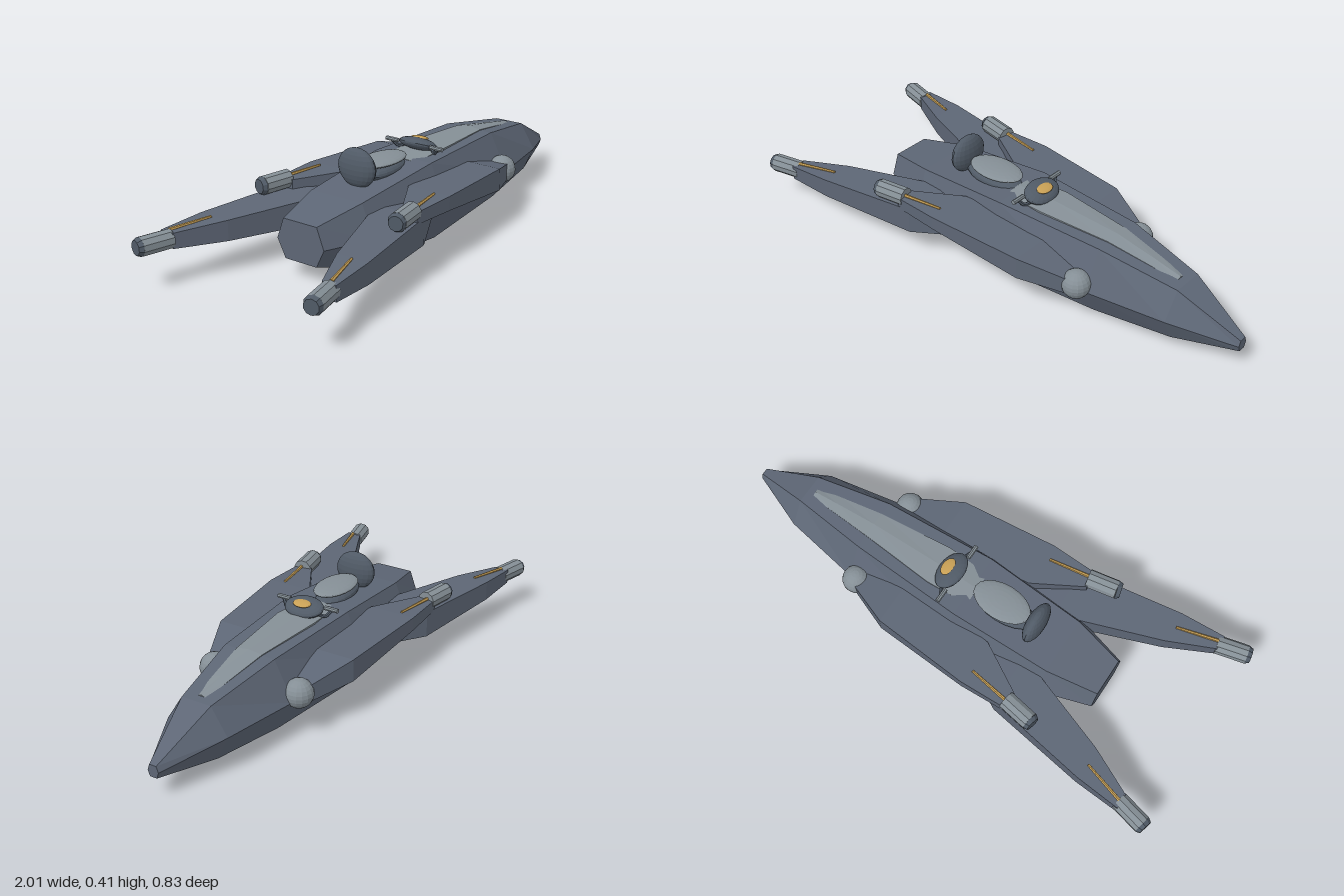
import * as THREE from 'three';

const material = (name, color) => {
  const m = new THREE.MeshStandardMaterial({ color, flatShading: true });
  m.name = name;
  return m;
};

// Skin a list of stations [x, ring], each ring a loop of [z, y] points, and cap both ends.
function loft(stations) {
  const n = stations[0][1].length, pos = [];
  const pts = stations.map(([x, ring]) => ring.map(([z, y]) => new THREE.Vector3(x, y, z)));
  const area = stations[1][1].reduce((a, [z, y], i, r) => {
    const [z2, y2] = r[(i + 1) % n];
    return a + z * y2 - z2 * y;
  }, 0);
  const tri = (a, b, c) => (area > 0 ? [a, b, c] : [a, c, b]).forEach(v => pos.push(v.x, v.y, v.z));
  for (let s = 0; s < pts.length - 1; s++) {
    for (let i = 0; i < n; i++) {
      const j = (i + 1) % n, a = pts[s][i], b = pts[s][j], c = pts[s + 1][j], d = pts[s + 1][i];
      tri(a, c, b);
      tri(a, d, c);
    }
  }
  const first = pts[0], last = pts[pts.length - 1];
  for (let i = 1; i < n - 1; i++) {
    tri(first[0], first[i], first[i + 1]);
    tri(last[0], last[i + 1], last[i]);
  }
  const g = new THREE.BufferGeometry();
  g.setAttribute('position', new THREE.Float32BufferAttribute(pos, 3));
  g.computeVertexNormals();
  return g;
}

export function createModel() {
  const model = new THREE.Group();
  model.name = 'speeder';
  const hullPaint = material('slate hull', 0x5d6675);
  const metal = material('light metal', 0x858f96);
  const dark = material('dark padding', 0x505a66);
  const gold = material('gold trim', 0xc8a055);

  const add = (name, geometry, mat) => {
    const mesh = new THREE.Mesh(geometry, mat);
    mesh.name = name;
    model.add(mesh);
    return mesh;
  };
  const ellipsoid = (name, mat, p, r, ws = 20, hs = 12) => {
    const mesh = add(name, new THREE.SphereGeometry(1, ws, hs), mat);
    mesh.position.set(...p);
    mesh.scale.set(...r);
    return mesh;
  };
  const rod = (name, a, b, r0, r1, mat, sides = 8) => {
    const from = new THREE.Vector3(...a), to = new THREE.Vector3(...b);
    const dir = to.clone().sub(from);
    const mesh = add(name, new THREE.CylinderGeometry(r1, r0, dir.length(), sides), mat);
    mesh.position.copy(from).add(to).multiplyScalar(0.5);
    mesh.quaternion.setFromUnitVectors(new THREE.Vector3(0, 1, 0), dir.normalize());
    return mesh;
  };

  // Six-sided hull: x, top y and half width, middle y and half width, bottom y and half width
  const hull = [
    [-0.6, 0.22, 0.075, 0.14, 0.105, 0.07, 0.07],
    [-0.4, 0.255, 0.115, 0.13, 0.165, 0.016, 0.115],
    [0, 0.295, 0.13, 0.125, 0.195, 0, 0.145],
    [0.45, 0.293, 0.105, 0.145, 0.18, 0.025, 0.12],
    [0.76, 0.247, 0.06, 0.145, 0.125, 0.05, 0.08],
    [1, 0.128, 0.014, 0.105, 0.022, 0.082, 0.014],
  ].map(([x, ty, tw, my, mw, by, bw]) =>
    [x, [[tw, ty], [mw, my], [bw, by], [-bw, by], [-mw, my], [-tw, ty]]]);
  add('hull', loft(hull), hullPaint);

  // Low light panel running along the nose, with a shallow centre ridge
  const cowl = [[-0.02, 0.07, 0.298], [0.15, 0.08, 0.308], [0.45, 0.053, 0.303], [0.62, 0.034, 0.276], [0.73, 0.022, 0.256]]
    .map(([x, w, y]) => [x, [[-w, y - 0.03], [-w, y - 0.007], [0, y], [w, y - 0.007], [w, y - 0.03]]]);
  add('noseCowl', loft(cowl), metal);

  // Saddle, backrest and instrument pod
  ellipsoid('seatBase', dark, [-0.14, 0.285, 0], [0.13, 0.03, 0.062]);
  ellipsoid('seatCushion', metal, [-0.13, 0.321, 0], [0.118, 0.016, 0.07]);
  ellipsoid('backrest', dark, [-0.28, 0.33, 0], [0.035, 0.075, 0.083]);
  ellipsoid('instrumentPod', dark, [0.095, 0.322, 0], [0.055, 0.024, 0.08]).rotation.z = -0.35;
  ellipsoid('instrumentDial', gold, [0.11, 0.342, 0], [0.024, 0.007, 0.037]).rotation.z = -0.2;

  // Wing stations: x, inner z, outer z, bottom y, top y
  const frontWing = [
    [-0.35, 0.25, 0.315, 0.205, 0.25],
    [-0.16, 0.14, 0.322, 0.2, 0.254],
    [0.225, 0.1, 0.29, 0.155, 0.242],
    [0.43, 0.14, 0.205, 0.13, 0.19],
  ];
  const rearWing = [
    [-0.88, 0.33, 0.388, 0.135, 0.193],
    [-0.7, 0.245, 0.375, 0.125, 0.203],
    [-0.3, 0.1, 0.31, 0.112, 0.215],
    [-0.1, 0.12, 0.205, 0.13, 0.19],
  ];

  for (const s of [1, -1]) {
    const side = s > 0 ? 'Near' : 'Far';
    const wing = stations => loft(stations.map(([x, zi, zo, yb, yt]) =>
      [x, [[s * zi, yt], [s * zo, yt], [s * zo, yb], [s * zi, yb]]]));
    add('frontWing' + side, wing(frontWing), hullPaint);
    add('rearWing' + side, wing(rearWing), hullPaint);

    // Ball joints at the wing roots
    ellipsoid('frontJoint' + side, metal, [0.415, 0.167, s * 0.182], [0.055, 0.055, 0.055], 16, 12);
    ellipsoid('rearJoint' + side, metal, [-0.12, 0.155, s * 0.185], [0.038, 0.038, 0.038], 16, 12);

    // Wing-tip thrusters with dark nozzles and gold rods
    const thruster = (name, x, y, z0, z1) => {
      rod(name + side, [x, y, s * z0], [x + 0.115, y, s * z1], 0.036, 0.036, metal, 10);
      rod(name + 'Nozzle' + side, [x - 0.016, y, s * (z0 + 0.004)], [x, y, s * z0], 0.028, 0.036, dark, 10);
    };
    thruster('frontThruster', -0.45, 0.245, 0.305, 0.285);
    thruster('rearThruster', -0.984, 0.165, 0.383, 0.355);
    rod('frontTrim' + side, [-0.34, 0.254, s * 0.29], [-0.175, 0.256, s * 0.264], 0.007, 0.005, gold, 6);
    rod('rearTrim' + side, [-0.87, 0.196, s * 0.36], [-0.71, 0.205, s * 0.314], 0.007, 0.005, gold, 6);

    // Handlebar: bent stem and grip
    const stem = new THREE.CatmullRomCurve3([
      [0.1, 0.31, 0.06], [0.085, 0.302, 0.085], [0.075, 0.318, 0.1], [0.07, 0.327, 0.108],
    ].map(([x, y, z]) => new THREE.Vector3(x, y, s * z)));
    add('handlebarStem' + side, new THREE.TubeGeometry(stem, 10, 0.007, 6), dark);
    rod('handlebarGrip' + side, [0.07, 0.327, s * 0.075], [0.07, 0.327, s * 0.13], 0.009, 0.009, metal, 8);
  }
  return model;
}
